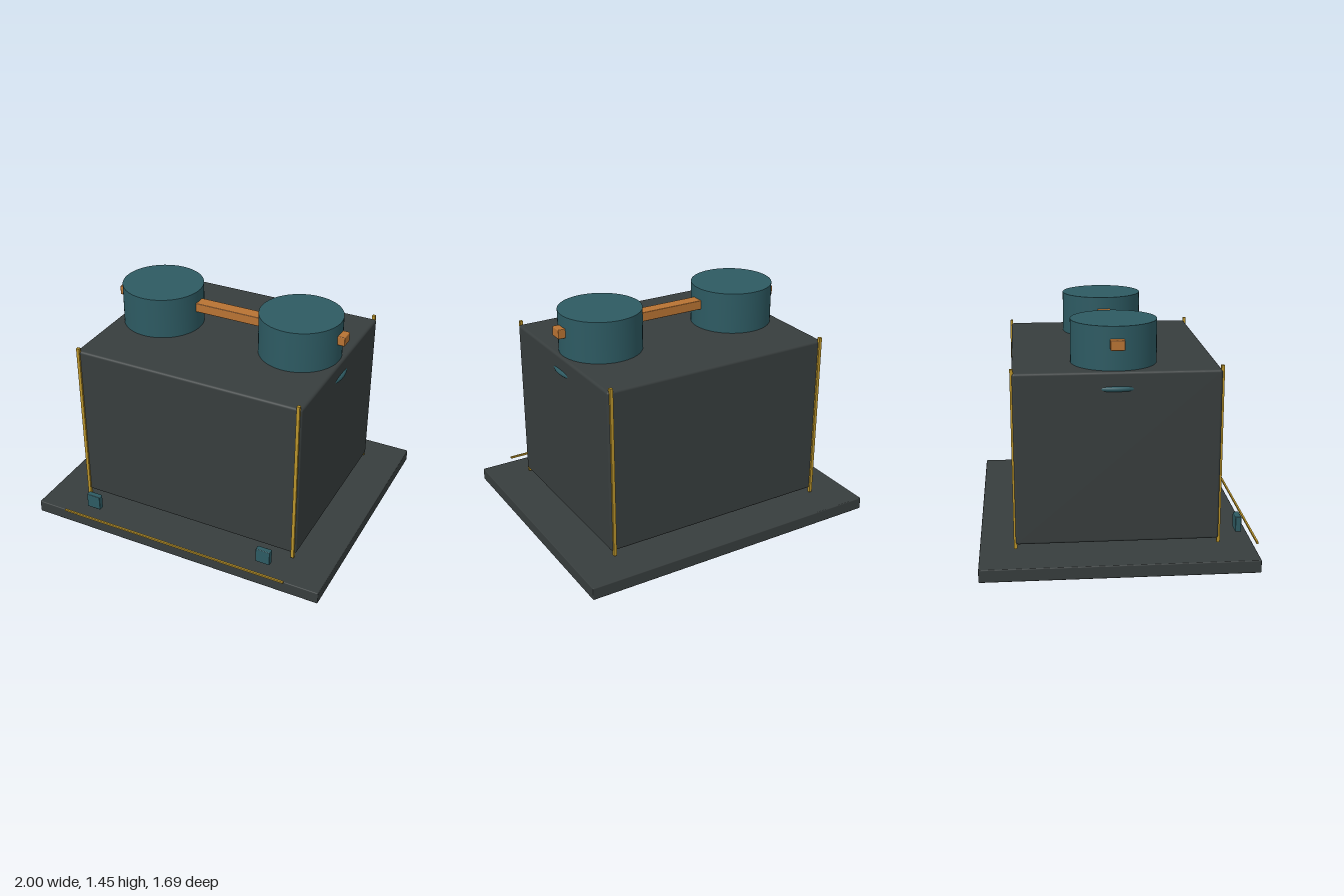
import * as THREE from 'three';
import { RoundedBoxGeometry } from 'three/addons/geometries/RoundedBoxGeometry.js';

function material(name, color) {
  const m = new THREE.MeshStandardMaterial({ color });
  m.name = name;
  return m;
}

export function createModel() {
  const model = new THREE.Group();
  const charcoal = material('charcoal', 0x373d3d);
  const teal = material('teal', 0x2d5a62);
  const copper = material('copper', 0xb87333);
  const brass = material('brass', 0xb8922a);

  function add(name, geometry, mat, x, y, z) {
    const mesh = new THREE.Mesh(geometry, mat);
    mesh.name = name;
    mesh.position.set(x, y, z);
    model.add(mesh);
    return mesh;
  }

  const midZ = -0.013;

  // Base slab and the body hovering just above it
  add('baseSlab', new RoundedBoxGeometry(2, 0.08, 1.664, 2, 0.006), charcoal, 0, 0.04, midZ);
  add('body', new RoundedBoxGeometry(1.52, 1.055, 1.228, 3, 0.016), charcoal, 0, 0.6545, midZ);

  // Thin trim rods on the four upright edges
  for (const x of [-0.74, 0.74]) {
    for (const z of [-0.615, 0.615]) {
      add('cornerTrim', new THREE.BoxGeometry(0.02, 1.105, 0.02), brass, x, 0.6525, midZ + z);
    }
  }

  for (const side of [-1, 1]) {
    // Roof drum, with a ring that just breaks through the body's side
    add('roofDrum', new THREE.CylinderGeometry(0.26, 0.26, 0.28, 64), teal, side * 0.48, 1.305, midZ - 0.003);
    const ring = add('drumRing', new THREE.TorusGeometry(0.28, 0.016, 12, 96), teal, side * 0.48, 1.079, midZ - 0.003);
    ring.rotation.x = Math.PI / 2;

    // Small block in front of the body
    add('frontBlock', new RoundedBoxGeometry(0.095, 0.098, 0.037, 2, 0.005), teal, side * 0.608, 0.17, 0.745);
  }

  // Bar running through both drums
  add('crossBar', new RoundedBoxGeometry(1.565, 0.06, 0.085, 2, 0.005), copper, 0, 1.34, midZ - 0.003);

  // Fine trim strip in front of the base
  add('frontTrim', new THREE.BoxGeometry(1.565, 0.012, 0.012), brass, 0, 0.098, 0.839);

  return model;
}
